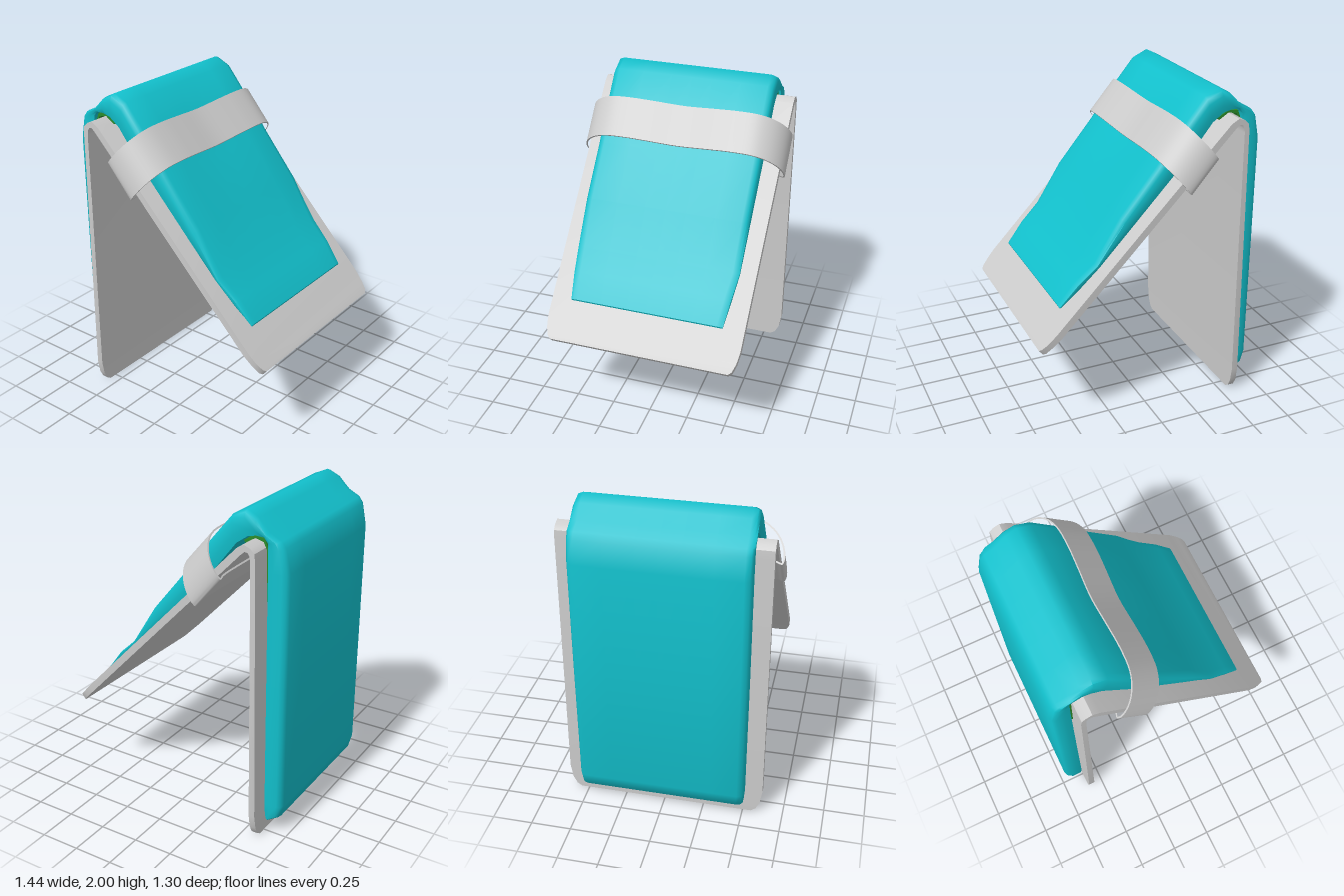
import * as THREE from 'three';
import { toCreasedNormals } from 'three/addons/utils/BufferGeometryUtils.js';

// Closed skin through rings of points, capped at both ends
function loft(rings, crease) {
  const n = rings[0].length, pos = rings.flat(2), idx = [];
  for (let r = 0; r < rings.length - 1; r++) {
    for (let j = 0; j < n; j++) {
      const a = r * n + j, b = r * n + (j + 1) % n;
      idx.push(a, b, b + n, a, b + n, a + n);
    }
  }
  const last = (rings.length - 1) * n;
  for (let j = 1; j < n - 1; j++) {
    idx.push(0, j + 1, j, last, last + j, last + j + 1);
  }
  const g = new THREE.BufferGeometry();
  g.setAttribute('position', new THREE.Float32BufferAttribute(pos, 3));
  g.setIndex(idx);
  return toCreasedNormals(g, crease);
}

// Rectangular ring: outer and inner point in the side plane, half width w
const slab = ([ox, oy, ix, iy, w]) => [[ix, iy, w], [ix, iy, -w], [ox, oy, -w], [ox, oy, w]];

// Padded ring: rounded outer edges; dip lowers the middle of the outer side
function padded([ox, oy, ix, iy, w, dip = 0]) {
  const at = (t, z) => [ix + (ox - ix) * t, iy + (oy - iy) * t, z];
  const side = [[0, 0.985], [0.3, 1], [0.72, 1], [0.92, 0.975], [1, 0.92], [1 - dip * 0.2, 0.6], [1 - dip * 0.8, 0.25]];
  return [
    ...side.map(([t, s]) => at(t, -s * w)),
    at(1 - dip, 0),
    ...side.reverse().map(([t, s]) => at(t, s * w)),
  ];
}

export function createModel() {
  const model = new THREE.Group();
  const add = (name, geometry, color) => {
    const mesh = new THREE.Mesh(geometry, new THREE.MeshStandardMaterial({ color }));
    mesh.name = name;
    model.add(mesh);
  };

  // Bent board with rounded end corners
  const board = [
    [-0.6, 0, -0.56, 0, 0.55],
    [-0.6, 0.02, -0.56, 0.02, 0.58],
    [-0.6, 0.07, -0.56, 0.07, 0.605],
    [-0.599, 0.16, -0.56, 0.16, 0.62],
    [-0.58, 1.76, -0.55, 1.76, 0.62],
    [-0.575, 1.81, -0.547, 1.785, 0.62],
    [-0.55, 1.835, -0.535, 1.808, 0.62],
    [-0.51, 1.85, -0.515, 1.812, 0.62],
    [-0.465, 1.825, -0.49, 1.79, 0.62],
    [0.62, 0.695, 0.59, 0.665, 0.612],
    [0.67, 0.64, 0.643, 0.612, 0.602],
    [0.705, 0.605, 0.68, 0.573, 0.585],
    [0.717, 0.59, 0.692, 0.56, 0.565],
  ];
  add('board', loft(board.map(slab), 0.6), 0xcccccc);

  // Thick pad draped over the board, thinning toward its front end
  const pad = [
    [-0.63, 0.075, -0.605, 0.08, 0.5],
    [-0.7, 0.12, -0.605, 0.12, 0.51],
    [-0.72, 0.2, -0.605, 0.2, 0.517],
    [-0.72, 1, -0.602, 1, 0.52],
    [-0.72, 1.68, -0.598, 1.68, 0.52],
    [-0.69, 1.82, -0.596, 1.8, 0.52],
    [-0.662, 1.855, -0.595, 1.84, 0.52],
    [-0.59, 1.89, -0.57, 1.87, 0.52],
    [-0.52, 1.965, -0.52, 1.872, 0.52],
    [-0.45, 2, -0.47, 1.86, 0.52],
    [-0.36, 1.96, -0.4, 1.81, 0.52],
    [-0.16, 1.72, -0.25, 1.62, 0.52, 0.15],
    [-0.06, 1.58, -0.13, 1.49, 0.52, 0.15],
    [0.17, 1.3, 0.1, 1.245, 0.52],
    [0.33, 1.04, 0.31, 1.02, 0.517],
    [0.45, 0.93, 0.44, 0.885, 0.5],
    [0.552, 0.797, 0.547, 0.785, 0.482],
  ];
  add('pad', loft(pad.map(padded), 0.95), 0x12c0cc);

  // Thin liner between the board's fold and the pad
  const liner = [
    [-0.596, 1.5, -0.588, 1.5, 0.5],
    [-0.593, 1.8, -0.582, 1.8, 0.5],
    [-0.57, 1.86, -0.562, 1.84, 0.5],
    [-0.51, 1.868, -0.51, 1.853, 0.5],
    [-0.44, 1.83, -0.448, 1.815, 0.5],
  ];
  add('liner', loft(liner.map(slab), 0.9), 0x2a8a2a);

  // Closed strap around board and pad: half outline as [across, height]
  const half = [[0.2, 0.26], [0.35, 0.268], [0.48, 0.255], [0.57, 0.205], [0.63, 0.125], [0.65, 0.04], [0.638, 0.003], [0.6, 0.012], [0.4, 0.018]];
  const outline = [[0, 0.245], ...half, [0, 0.018], ...half.map(([x, y]) => [-x, y]).reverse()];
  const loop = new THREE.CatmullRomCurve3(outline.map(([x, y]) => new THREE.Vector3(x, y, 0)), true)
    .getPoints(80).slice(0, -1);
  const thickness = 0.01;
  const inner = loop.map((p, i) => {
    const d = loop[(i + 1) % 80].clone().sub(loop[(i + 79) % 80]).normalize();
    return new THREE.Vector2(p.x + d.y * thickness, p.y - d.x * thickness);
  });
  const shape = new THREE.Shape(loop.map((p) => new THREE.Vector2(p.x, p.y)));
  shape.holes.push(new THREE.Path(inner));
  const strap = new THREE.ExtrudeGeometry(shape, { depth: 0.255, bevelEnabled: false });
  strap.applyMatrix4(new THREE.Matrix4().makeBasis(
    new THREE.Vector3(0, 0, -1),
    new THREE.Vector3(0.63, 0.777, 0),
    new THREE.Vector3(0.65, -0.76, 0),
  ).setPosition(-0.38, 1.63, 0));
  add('strap', toCreasedNormals(strap, 0.8), 0xcccccc);

  return model;
}
